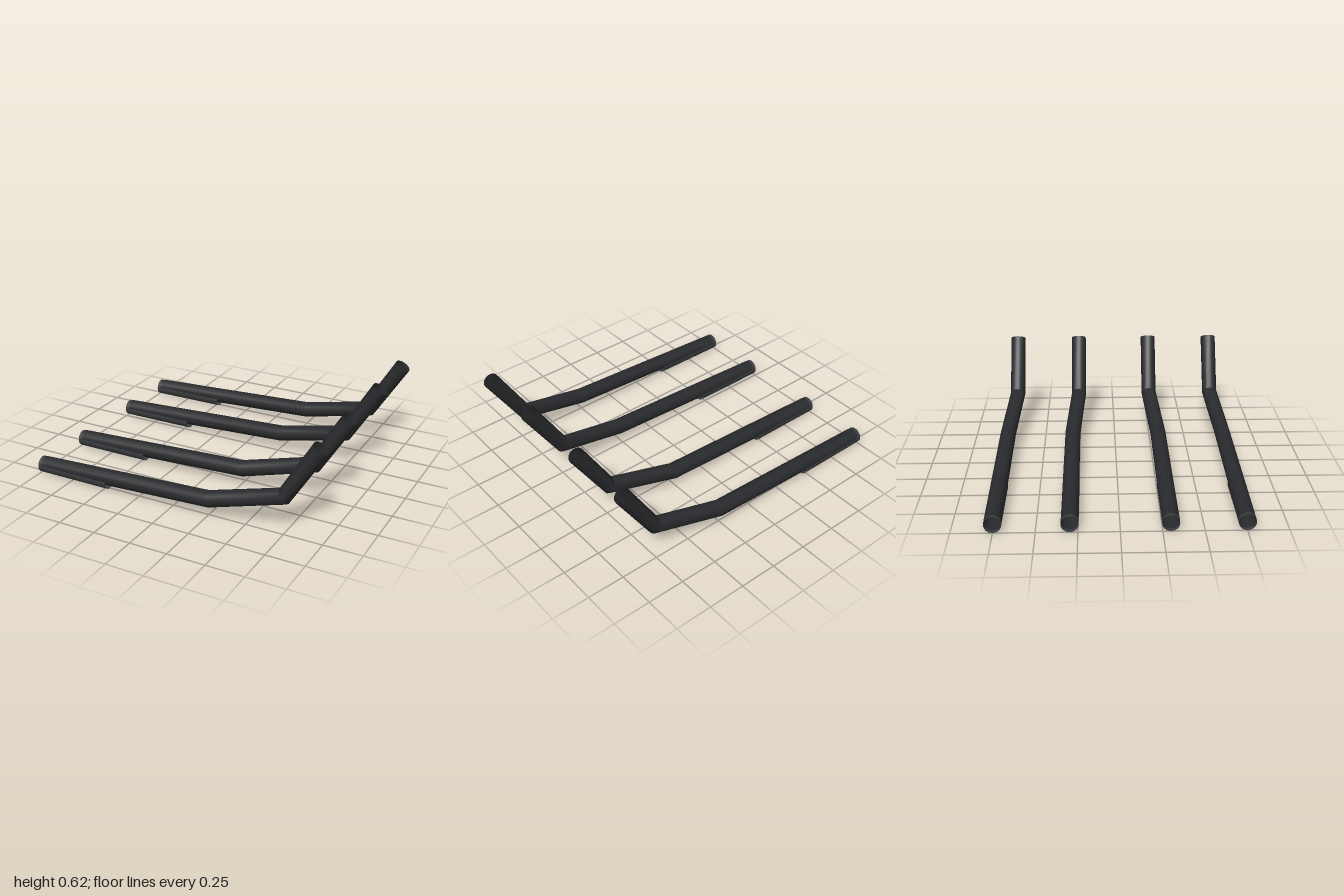
import * as THREE from 'three';
import { toCreasedNormals } from 'three/addons/utils/BufferGeometryUtils.js';

const RADIUS = 0.053;
const pipeMaterial = new THREE.MeshStandardMaterial({ color: 0x292a2d, side: THREE.DoubleSide });
const sleeveMaterial = new THREE.MeshStandardMaterial({ color: 0x3b3c3f, side: THREE.DoubleSide });

// Open round pipe along a polyline, with one ring on the bisecting plane of each bend
function pipeGeometry(points, radius, sides) {
  const positions = [], index = [];
  points.forEach((p, i) => {
    const tangent = new THREE.Vector3();
    if (i > 0) tangent.add(p.clone().sub(points[i - 1]).normalize());
    if (i < points.length - 1) tangent.add(points[i + 1].clone().sub(p).normalize());
    tangent.normalize();
    const across = new THREE.Vector3(0, 0, 1).addScaledVector(tangent, -tangent.z).normalize();
    const up = across.clone().cross(tangent);
    for (let j = 0; j < sides; j++) {
      const a = (j / sides) * Math.PI * 2;
      const v = p.clone()
        .addScaledVector(up, Math.cos(a) * radius)
        .addScaledVector(across, Math.sin(a) * radius);
      positions.push(v.x, v.y, v.z);
      if (i === 0) continue;
      const k = (j + 1) % sides, b = i * sides, c = b - sides;
      index.push(c + j, b + j, b + k, c + j, b + k, c + k);
    }
  });
  const geometry = new THREE.BufferGeometry();
  geometry.setAttribute('position', new THREE.Float32BufferAttribute(positions, 3));
  geometry.setIndex(index);
  return toCreasedNormals(geometry, 0.6);
}

// One bent pipe with its straight sleeve; the free end steps inwards towards z = 0
function createBentPipe(z) {
  const group = new THREE.Group();
  group.name = 'bentPipe';
  const zEnd = z - Math.sign(z) * 0.04;
  const path = [
    new THREE.Vector3(-0.975, 0.055, z),
    new THREE.Vector3(0.25, 0.11, z),
    new THREE.Vector3(0.732, 0.234, zEnd),
    new THREE.Vector3(0.952, 0.593, zEnd),
  ];
  const pipe = new THREE.Mesh(pipeGeometry(path, RADIUS, 14), pipeMaterial);
  pipe.name = 'pipe';

  const sleeveGeometry = new THREE.CylinderGeometry(RADIUS, RADIUS, 0.525, 24, 1, true);
  sleeveGeometry.rotateZ(Math.PI / 2);
  const sleeve = new THREE.Mesh(sleeveGeometry, sleeveMaterial);
  sleeve.name = 'sleeve';
  sleeve.position.set(-0.7375, RADIUS, z);

  group.add(pipe, sleeve);
  return group;
}

export function createModel() {
  const model = new THREE.Group();
  model.name = 'bentPipes';
  // Outer and inner pairs, mirrored front to back
  for (const z of [0.75, 0.298]) model.add(createBentPipe(z), createBentPipe(-z));
  return model;
}
